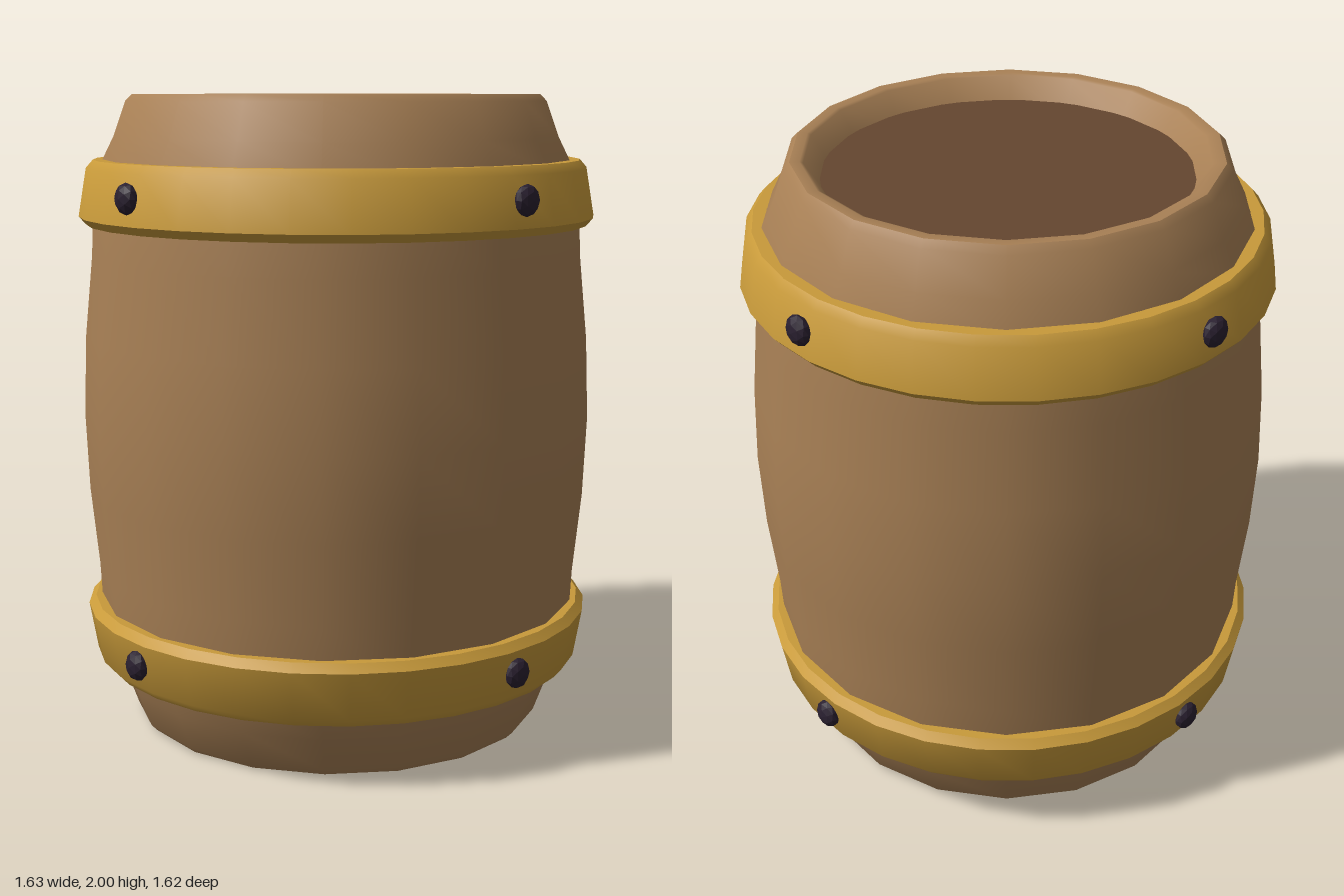
import * as THREE from 'three';
import { toCreasedNormals } from 'three/addons/utils/BufferGeometryUtils.js';

const material = (name, color) => {
  const m = new THREE.MeshStandardMaterial({ color });
  m.name = name;
  return m;
};

// Lathe a [radius, y] profile, keeping sharp edges sharp
function turned(profile, sides, start = 0) {
  const points = profile.map(([r, y]) => new THREE.Vector2(r, y));
  return toCreasedNormals(new THREE.LatheGeometry(points, sides, start), 0.6);
}

// Mirror a half profile about mid height (y = 1)
const mirrored = (half) => half.map(([r, y]) => [r, 2 - y]).reverse();

export function createModel() {
  const wood = material('wood', 0xa88055);
  const darkWood = material('dark wood', 0x65462f);
  const brass = material('brass', 0xc89a3a);
  const iron = material('dark iron', 0x2a2030);

  const barrel = new THREE.Group();
  barrel.name = 'barrel';
  const add = (name, geometry, mat, parent = barrel) => {
    const mesh = new THREE.Mesh(geometry, mat);
    mesh.name = name;
    parent.add(mesh);
    return mesh;
  };

  // Bulging staves with rolled rims at both ends
  const half = [
    [0.54, 0.1], [0.6, 0.005], [0.61, 0], [0.64, 0], [0.66, 0.02], [0.7, 0.13],
    [0.745, 0.22], [0.768, 0.36], [0.775, 0.5], [0.8, 0.75],
  ];
  add('staves', turned([...half, [0.81, 1], ...mirrored(half)], 18), wood);

  // Recessed lids at both ends
  const top = add('topLid', new THREE.CircleGeometry(0.562, 18), darkWood);
  top.rotation.x = -Math.PI / 2;
  top.position.y = 1.93;
  const bottom = add('bottomLid', new THREE.CircleGeometry(0.585, 28), darkWood);
  bottom.rotation.x = Math.PI / 2;
  bottom.position.y = 0.04;

  // Hoops flare towards the middle of the barrel
  const hoop = [
    [0.725, 0.2], [0.765, 0.2], [0.787, 0.225], [0.813, 0.375], [0.79, 0.4], [0.75, 0.4],
  ];
  add('lowerHoop', turned(hoop, 30, Math.PI / 2), brass);
  add('upperHoop', turned(mirrored(hoop), 30, Math.PI / 2), brass);

  // Four faceted rivets on each hoop
  const rivet = new THREE.IcosahedronGeometry(0.047, 1);
  rivet.scale(0.95, 1, 0.6);
  rivet.computeVertexNormals();
  for (const y of [0.305, 1.705]) {
    for (let i = 0; i < 4; i++) {
      const angle = Math.PI / 4 + (i * Math.PI) / 2;
      const mesh = add('rivet', rivet, iron);
      mesh.position.set(0.808 * Math.sin(angle), y, 0.808 * Math.cos(angle));
      mesh.rotation.y = angle;
    }
  }
  return barrel;
}
